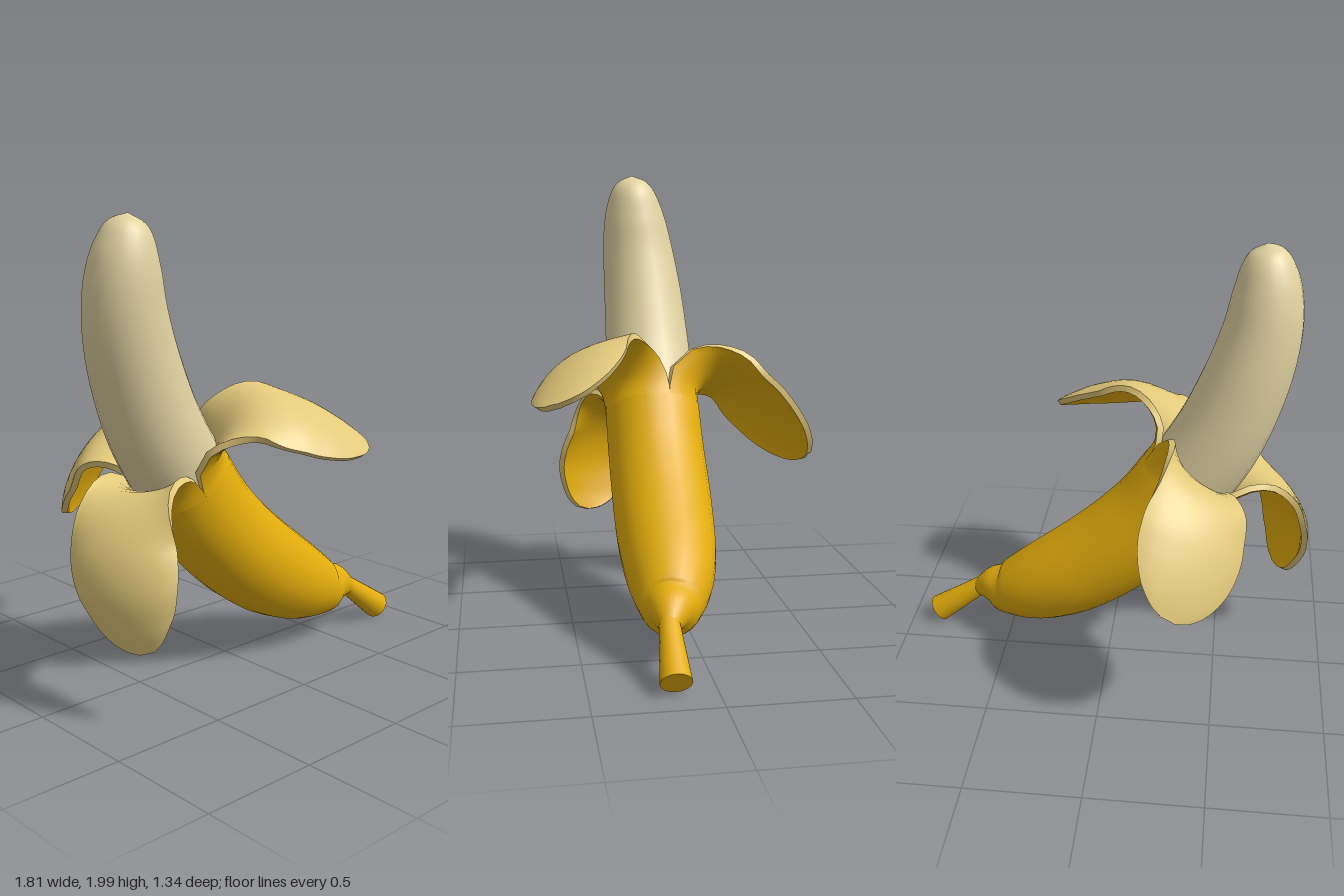
import * as THREE from 'three';

const V = (x, y, z) => new THREE.Vector3(x, y, z);
const { lerp, smoothstep, degToRad } = THREE.MathUtils;
const mat = (name, color) => {
  const m = new THREE.MeshStandardMaterial({ color });
  m.name = name;
  return m;
};
const skin = mat('yellow peel', 0xe3ad0c);
const pith = mat('pale inner peel', 0xe2c97b);
const flesh = mat('cream fruit', 0xe0d2a1);

function addMesh(parent, name, geometry, material) {
  const mesh = new THREE.Mesh(geometry, material);
  mesh.name = name;
  parent.add(mesh);
  return mesh;
}

// Rows of points to a smooth surface
function gridGeometry(rows) {
  const n = rows[0].length, index = [];
  for (let i = 0; i < rows.length - 1; i++) {
    for (let j = 0; j < n - 1; j++) {
      const a = i * n + j, b = a + n;
      index.push(a, b, a + 1, a + 1, b, b + 1);
    }
  }
  const g = new THREE.BufferGeometry().setFromPoints(rows.flat());
  g.setIndex(index);
  g.computeVertexNormals();
  return g;
}

// Round loft through stations [x, y, z, radius]
function loft(stations, steps, sides = 24) {
  const smooth = pts => new THREE.CatmullRomCurve3(pts, false, 'catmullrom', 0.5);
  const path = smooth(stations.map(s => V(s[0], s[1], s[2])));
  const radius = smooth(stations.map(s => V(s[3], 0, 0)));
  const rows = [];
  for (let i = 0; i <= steps; i++) {
    const t = i / steps, p = path.getPoint(t), r = Math.max(0.001, radius.getPoint(t).x);
    const tan = path.getTangent(t);
    const a = tan.clone().cross(V(0, 0, 1)).normalize(), b = a.clone().cross(tan);
    const row = [];
    for (let j = 0; j <= sides; j++) {
      const q = j / sides * Math.PI * 2;
      row.push(p.clone().addScaledVector(a, r * Math.cos(q)).addScaledVector(b, r * Math.sin(q)));
    }
    rows.push(row);
  }
  const g = gridGeometry(rows), nor = g.attributes.normal;
  // even shading across the seam
  for (let i = 0; i <= steps; i++) {
    const a = i * (sides + 1), b = a + sides;
    const s = V().fromBufferAttribute(nor, a).add(V().fromBufferAttribute(nor, b)).normalize();
    nor.setXYZ(a, s.x, s.y, s.z);
    nor.setXYZ(b, s.x, s.y, s.z);
  }
  return g;
}

// Torn ring at the top of the peel, where the three strips begin
const RING = { centre: V(-0.33, 0.9, 0.09), axis: V(-0.55, 0.835, 0).normalize(), r: 0.22 };

// One peeled strip, a third of the ring wide: outer skin, inner skin and rim
function makeFlap(name, degrees, path, wTip, halfTip) {
  const ROWS = 30, COLS = 12, HALF = Math.PI / 3, THICK = 0.028;
  const { centre, axis, r } = RING, q0 = degToRad(degrees);
  const side = axis.clone().cross(V(0, 0, 1));
  const radial = side.clone().multiplyScalar(Math.cos(q0)).add(V(0, 0, Math.sin(q0)));
  const wRoot = side.clone().multiplyScalar(-Math.sin(q0)).add(V(0, 0, Math.cos(q0)));
  const root = centre.clone().addScaledVector(radial, r);
  const curve = new THREE.CatmullRomCurve3(
    [root, root.clone().addScaledVector(axis, 0.08), ...path.map(p => V(...p))]);
  const rows = [];
  for (let i = 0; i <= ROWS; i++) {
    const t = 1 - Math.pow(1 - i / ROWS, 1.4);
    const p = curve.getPointAt(t);
    const tan = curve.getTangentAt(t).lerp(axis, 1 - smoothstep(t, 0, 0.12)).normalize();
    const w = wRoot.clone().lerp(V(...wTip), smoothstep(t, 0, 0.6));
    w.addScaledVector(tan, -w.dot(tan)).normalize();
    const n = tan.clone().cross(w);
    const k = Math.max(0, (t - 0.6) / 0.4);
    const round = Math.sqrt(Math.max(0.02, 1 - k * k));
    const half = lerp(r * Math.sin(HALF), halfTip, smoothstep(t, 0.1, 0.6)) * round;
    const bow = lerp(r * (1 - Math.cos(HALF)), -0.06, smoothstep(t, 0, 0.55)) * round * round;
    const row = [];
    for (let j = 0; j <= COLS; j++) {
      const q = (j / COLS * 2 - 1) * HALF;
      row.push(p.clone().addScaledVector(w, half * Math.sin(q) / Math.sin(HALF))
        .addScaledVector(n, -bow * (1 - Math.cos(q)) / (1 - Math.cos(HALF))));
    }
    rows.push(row);
  }
  const outer = gridGeometry(rows), nor = outer.attributes.normal;
  const inner = rows.map((row, i) => row.map((p, j) =>
    p.clone().addScaledVector(V().fromBufferAttribute(nor, i * (COLS + 1) + j), -THICK)));

  // rim runs up one edge, round the tip and back down
  const loop = [];
  for (let i = 0; i <= ROWS; i++) loop.push([i, 0]);
  for (let j = 1; j <= COLS; j++) loop.push([ROWS, j]);
  for (let i = ROWS - 1; i >= 0; i--) loop.push([i, COLS]);
  const rim = gridGeometry([rows, inner].map(s => loop.map(([i, j]) => s[i][j])));

  const group = new THREE.Group();
  group.name = name;
  addMesh(group, 'flapOuterSkin', outer, skin);
  addMesh(group, 'flapInnerSkin', gridGeometry(inner.map(row => [...row].reverse())), pith);
  addMesh(group, 'flapRim', rim, pith);
  return group;
}

export function createModel() {
  const model = new THREE.Group();
  model.name = 'peeledBanana';

  // Unpeeled lower half, from the neck up to the torn ring
  addMesh(model, 'peelBody', loft([
    [0.66, 0.212, 0.16, 0.042], [0.58, 0.237, 0.145, 0.093], [0.5, 0.241, 0.13, 0.135],
    [0.365, 0.29, 0.11, 0.18], [0.215, 0.37, 0.098, 0.207], [0.08, 0.46, 0.094, 0.218],
    [-0.06, 0.575, 0.09, 0.222], [-0.21, 0.73, 0.09, 0.221], [-0.333, 0.905, 0.09, 0.2195],
  ], 32), skin);

  // Stem
  const a = V(0.64, 0.224, 0.16), b = V(0.868, 0.06, 0.167);
  const stem = addMesh(model, 'stem',
    new THREE.CylinderGeometry(0.064, 0.042, a.distanceTo(b), 16), skin);
  stem.position.copy(a).lerp(b, 0.5);
  stem.quaternion.setFromUnitVectors(V(0, 1, 0), b.clone().sub(a).normalize());

  // Bare fruit
  addMesh(model, 'fruit', loft([
    [-0.25, 0.78, 0.09, 0.16], [-0.34, 0.92, 0.09, 0.198], [-0.43, 1.06, 0.09, 0.202],
    [-0.51, 1.22, 0.092, 0.197], [-0.587, 1.43, 0.1, 0.186], [-0.635, 1.62, 0.115, 0.17],
    [-0.648, 1.78, 0.13, 0.149], [-0.643, 1.9, 0.14, 0.115], [-0.638, 1.968, 0.144, 0.072],
    [-0.634, 2.0, 0.145, 0],
  ], 36), flesh);

  // Three peeled strips
  model.add(makeFlap('frontFlap', 45, [
    [-0.22, 1.145, 0.3], [-0.165, 1.2, 0.36], [-0.07, 1.205, 0.43],
    [0.06, 1.155, 0.49], [0.175, 1.085, 0.54], [0.26, 1.02, 0.58],
  ], [-0.4, -0.42, 0.82], 0.21));
  model.add(makeFlap('sideFlap', 165, [
    [-0.655, 0.89, 0.19], [-0.75, 0.845, 0.235],
    [-0.815, 0.73, 0.285], [-0.828, 0.58, 0.33], [-0.795, 0.44, 0.36], [-0.755, 0.345, 0.385],
  ], [-0.45, 0, -0.9], 0.21));
  model.add(makeFlap('backFlap', 285, [
    [-0.385, 1.04, -0.2], [-0.42, 1.04, -0.3],
    [-0.42, 0.96, -0.42], [-0.39, 0.85, -0.52], [-0.34, 0.74, -0.6], [-0.3, 0.67, -0.64],
  ], [0.8, 0.55, -0.2], 0.235));
  return model;
}
